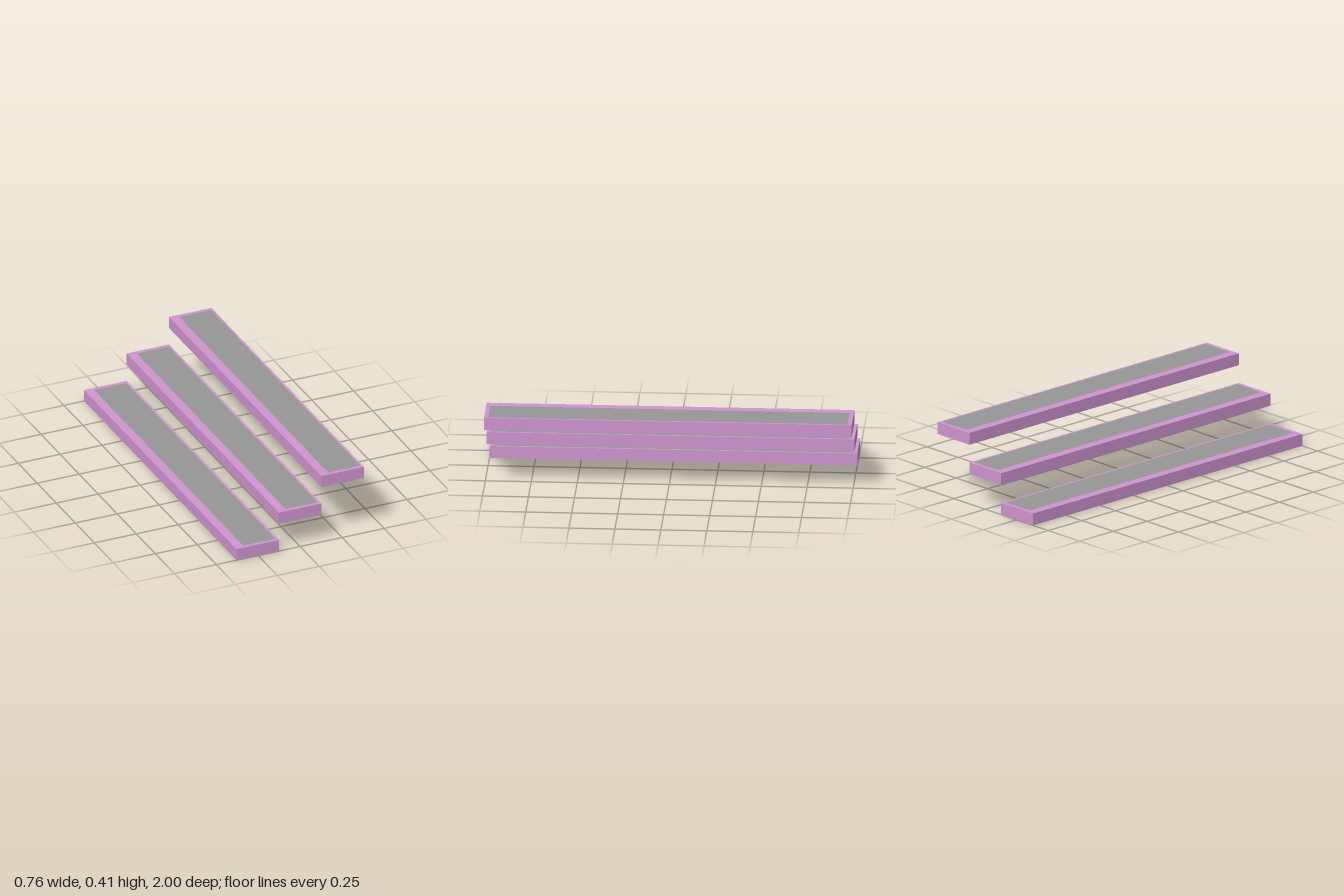
import * as THREE from 'three';

const WIDTH = 0.253, LENGTH = 2, HEIGHT = 0.068, RISE = 0.169;
const NOSING = 0.05, BACK_RIM = 0.012, END_RIM = 0.023, PANEL = 0.005;

function rectangle(path, x0, x1, z0, z1) {
  path.moveTo(x0, z0);
  path.lineTo(x1, z0);
  path.lineTo(x1, z1);
  path.lineTo(x0, z1);
  path.closePath();
  return path;
}

export function createModel() {
  const frameMaterial = new THREE.MeshStandardMaterial({ color: 0xd096d0 });
  frameMaterial.name = 'orchid frame';
  const panelMaterial = new THREE.MeshStandardMaterial({ color: 0x979797 });
  panelMaterial.name = 'grey panel';

  // Opening in the frame, wider rim on the nosing side
  const x0 = -WIDTH / 2 + NOSING, x1 = WIDTH / 2 - BACK_RIM;
  const z1 = LENGTH / 2 - END_RIM;

  // Rectangular frame, open from below
  const outline = rectangle(new THREE.Shape(), -WIDTH / 2, WIDTH / 2, -LENGTH / 2, LENGTH / 2);
  outline.holes.push(rectangle(new THREE.Path(), x0, x1, -z1, z1));
  const frameGeometry = new THREE.ExtrudeGeometry(outline, { depth: HEIGHT, bevelEnabled: false });
  frameGeometry.rotateX(-Math.PI / 2);

  // Thin panel flush with the top of the frame
  const panelGeometry = new THREE.BoxGeometry(x1 - x0, PANEL, 2 * z1);
  panelGeometry.translate((x0 + x1) / 2, HEIGHT - PANEL / 2, 0);

  // Three treads climbing towards +x
  const model = new THREE.Group();
  model.name = 'stairTreads';
  for (let i = 0; i < 3; i++) {
    const tread = new THREE.Group();
    tread.name = `tread${i + 1}`;
    const frame = new THREE.Mesh(frameGeometry, frameMaterial);
    frame.name = 'treadFrame';
    const panel = new THREE.Mesh(panelGeometry, panelMaterial);
    panel.name = 'treadPanel';
    tread.add(frame, panel);
    tread.position.set((i - 1) * WIDTH, i * RISE, 0);
    model.add(tread);
  }
  return model;
}
